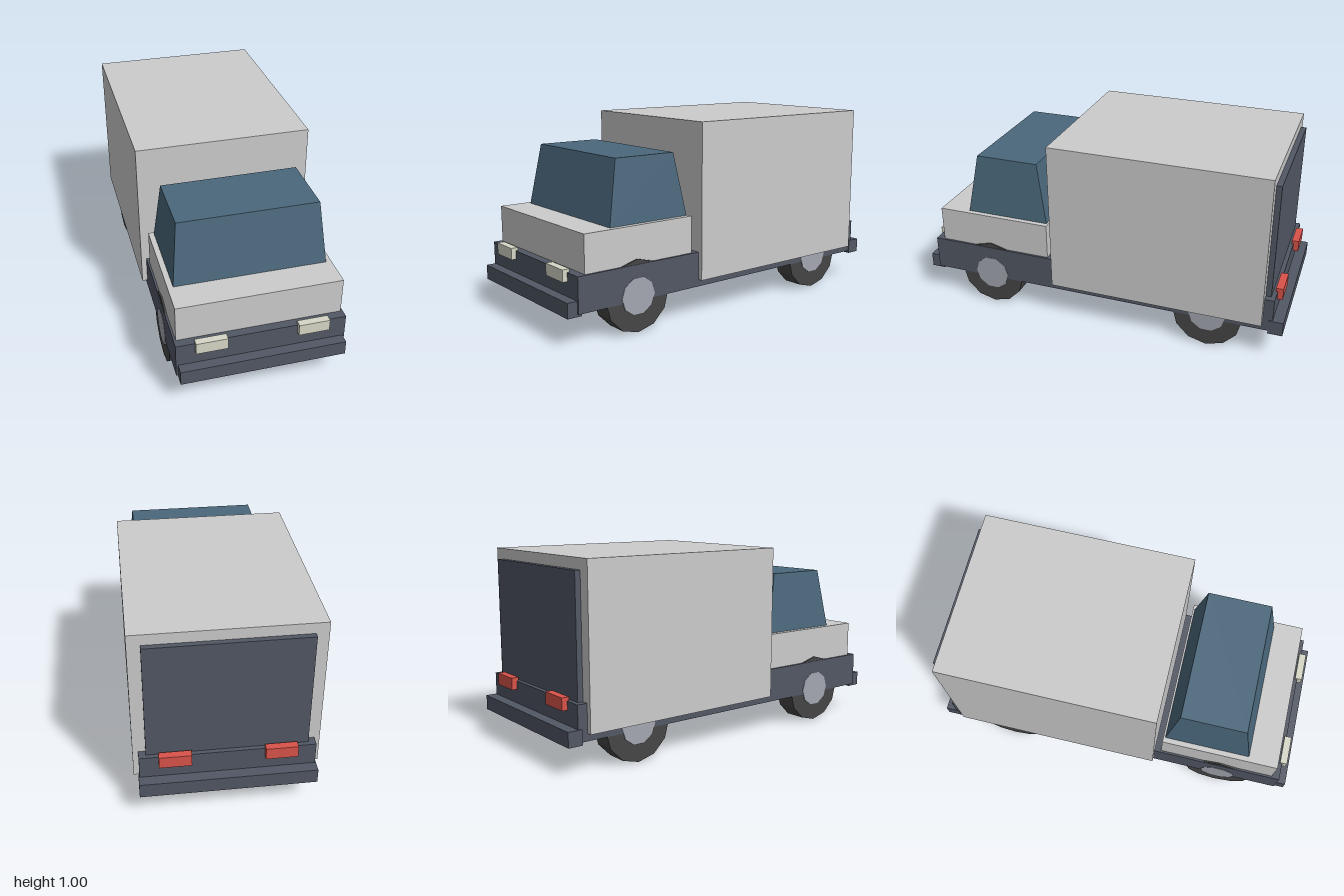
import * as THREE from 'three';

const mat = (color) => new THREE.MeshStandardMaterial({ color, flatShading: true });

export function createModel() {
  const truck = new THREE.Group();
  truck.name = 'boxTruck';

  const body = mat(0xcccccc);
  const dark = mat(0x515764);
  const glass = mat(0x4a677b);
  const lamp = mat(0xd6d7c6);
  const red = mat(0xd9534a);
  const rubber = mat(0x454545);
  const metal = mat(0xa3a6b0);

  const add = (name, geometry, material, parent = truck) => {
    const mesh = new THREE.Mesh(geometry, material);
    mesh.name = name;
    parent.add(mesh);
    return mesh;
  };

  // Box given by its extents on each axis
  const block = (name, [x0, x1], [y0, y1], [z0, z1], material) => {
    const g = new THREE.BoxGeometry(x1 - x0, y1 - y0, z1 - z0);
    g.translate((x0 + x1) / 2, (y0 + y1) / 2, (z0 + z1) / 2);
    return add(name, g, material);
  };

  // Chassis and bumpers
  block('chassis', [-0.425, 0.425], [0.16, 0.34], [-0.945, 0.948], dark);
  block('frontBumper', [-0.415, 0.415], [0.147, 0.223], [0.925, 1], dark);
  block('rearBumper', [-0.43, 0.43], [0.147, 0.223], [-1, -0.925], dark);

  // Cargo box with its rear door
  block('cargoBox', [-0.452, 0.452], [0.197, 1], [-0.895, 0.24], body);
  block('cargoDoor', [-0.39, 0.39], [0.3, 0.945], [-0.923, -0.88], dark);

  // Lower cab
  block('cab', [-0.414, 0.414], [0.33, 0.53], [0.277, 0.904], body);

  // Tapered cab windows
  const cabin = new THREE.BoxGeometry(2, 1, 2);
  const p = cabin.attributes.position;
  for (let i = 0; i < p.count; i++) {
    const top = p.getY(i) > 0;
    const halfWidth = top ? 0.354 : 0.386;
    const [back, front] = top ? [0.345, 0.687] : [0.287, 0.745];
    p.setXYZ(i, p.getX(i) * halfWidth, top ? 0.85 : 0.53, p.getZ(i) > 0 ? front : back);
  }
  cabin.computeVertexNormals();
  add('cabWindows', cabin, glass);

  // Lights and wheels on both sides
  const tyreGeo = new THREE.CylinderGeometry(0.183, 0.183, 0.112, 12).rotateZ(Math.PI / 2);
  const hubGeo = new THREE.CylinderGeometry(0.096, 0.096, 0.122, 10).rotateZ(Math.PI / 2);
  for (const side of [1, -1]) {
    const label = side > 0 ? 'left' : 'right';
    const xs = side > 0 ? [0.176, 0.332] : [-0.332, -0.176];
    block(label + 'Headlight', xs, [0.296, 0.356], [0.935, 0.973], lamp);
    block(label + 'TailLight', xs, [0.296, 0.358], [-0.973, -0.935], red);

    for (const [end, z] of [['Front', 0.613], ['Rear', -0.61]]) {
      const wheel = new THREE.Group();
      wheel.name = label + end + 'Wheel';
      wheel.position.set(side * 0.366, 0.183, z);
      add('tyre', tyreGeo, rubber, wheel);
      add('hub', hubGeo, metal, wheel);
      truck.add(wheel);
    }
  }
  return truck;
}
